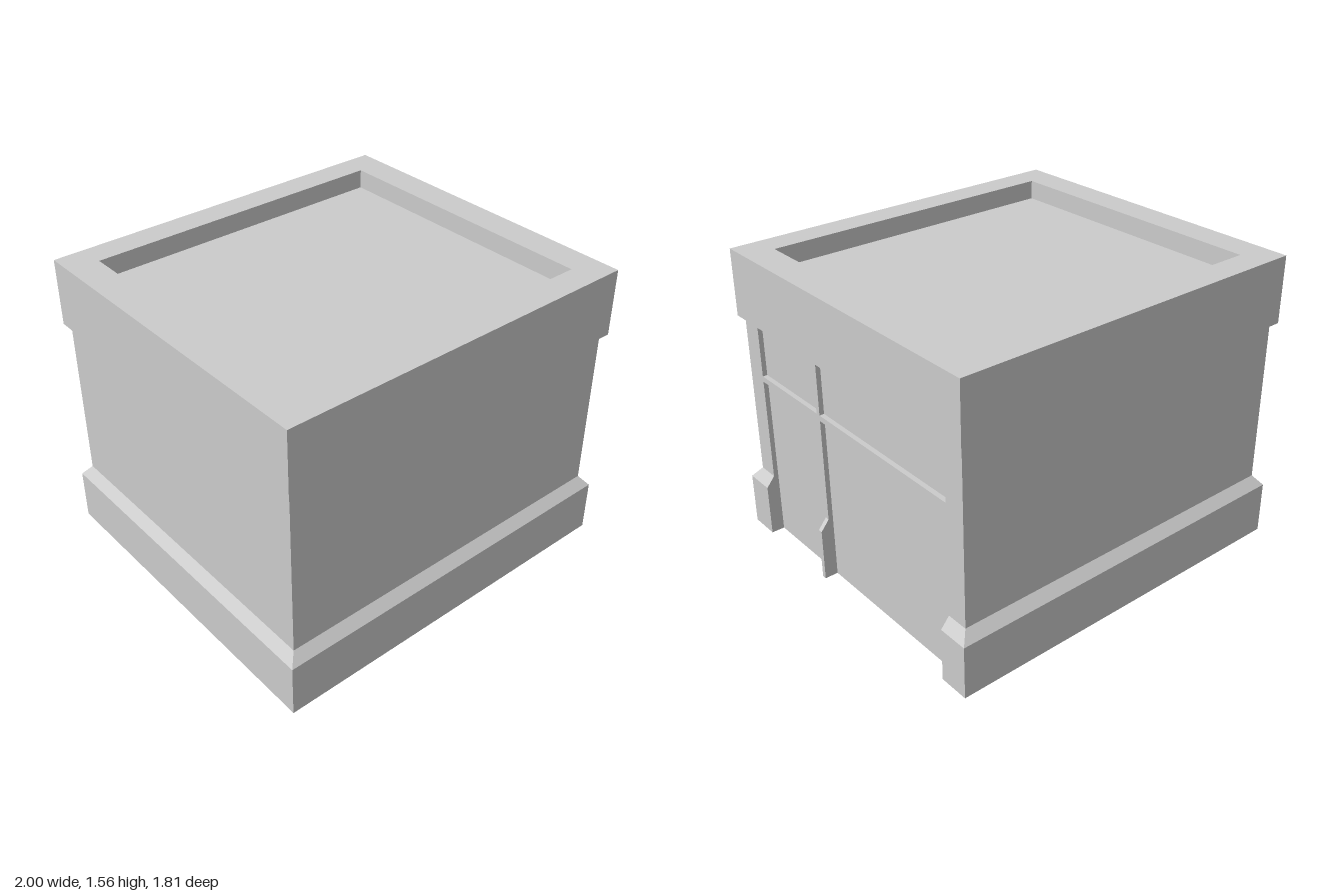
import * as THREE from 'three';

const HX = 1, HZ = 0.905;      // half size of the plinth
const DOOR = 0.745;            // half width of the opening on the +x side
const WALL_TOP = 1.21;

export function createModel() {
  const group = new THREE.Group();
  const grey = new THREE.MeshStandardMaterial({ color: 0xcccccc });
  grey.name = 'plain grey';

  const add = (name, geometry) => {
    const mesh = new THREE.Mesh(geometry, grey);
    mesh.name = name;
    group.add(mesh);
  };

  // Box given by its limits
  const box = (name, x0, x1, y0, y1, z0, z1) => add(name,
    new THREE.BoxGeometry(x1 - x0, y1 - y0, z1 - z0)
      .translate((x0 + x1) / 2, (y0 + y1) / 2, (z0 + z1) / 2));

  // Outline in x and y, extruded from z0 to z1
  const post = (name, outline, z0, z1) => {
    const shape = new THREE.Shape(outline.map(([x, y]) => new THREE.Vector2(x, y)));
    add(name, new THREE.ExtrudeGeometry(shape, { depth: z1 - z0, bevelEnabled: false })
      .translate(0, 0, z0));
  };

  // Rectangular frame lying flat from y0 to y1
  const frame = (name, hx, hz, ix, iz, y0, y1) => {
    const rect = (x, z) => [[-x, -z], [x, -z], [x, z], [-x, z]].map(([a, b]) => new THREE.Vector2(a, b));
    const shape = new THREE.Shape(rect(hx, hz));
    shape.holes.push(new THREE.Path(rect(ix, iz).reverse()));
    add(name, new THREE.ExtrudeGeometry(shape, { depth: y1 - y0, bevelEnabled: false })
      .rotateX(-Math.PI / 2).translate(0, y0, 0));
  };

  // Hollow wall with a bevelled plinth, mitred round the corners and open at the doorway
  // Profile: inset from the plinth face, height; up the outside and down the inside
  const profile = [[0, 0], [0, 0.28], [0.045, 0.335], [0.045, WALL_TOP],
    [0.085, WALL_TOP], [0.085, 0.335], [0.04, 0.28], [0.04, 0]];
  const section = (at) => profile.map(([inset, y]) => {
    const [x, z] = at(HX - inset, HZ - inset);
    return [x, y, z];
  });
  const sections = [
    section((x) => [x, DOOR]),
    section((x, z) => [x, z]),
    section((x, z) => [-x, z]),
    section((x, z) => [-x, -z]),
    section((x, z) => [x, -z]),
    section((x) => [x, -DOOR]),
  ];
  const positions = [];
  const quad = (a, b, c, d) => positions.push(...a, ...b, ...c, ...a, ...c, ...d);
  const n = profile.length;
  for (let i = 0; i < sections.length - 1; i++) {
    const s = sections[i], t = sections[i + 1];
    for (let j = 0; j < n; j++) quad(s[j], s[(j + 1) % n], t[(j + 1) % n], t[j]);
  }
  const first = sections[0], last = sections[sections.length - 1];
  for (let k = 0; k < n / 2 - 1; k++) {
    quad(first[n - 1 - k], first[n - 2 - k], first[k + 1], first[k]);
    quad(last[k], last[k + 1], last[n - 2 - k], last[n - 1 - k]);
  }
  const walls = new THREE.BufferGeometry();
  walls.setAttribute('position', new THREE.Float32BufferAttribute(positions, 3));
  walls.computeVertexNormals();
  add('walls', walls);

  // Doorway: recessed panel, mullion, rail and jamb backing
  box('recessedPanel', 0.915, 0.93, 0, WALL_TOP, -DOOR, DOOR);
  post('mullion', [[0.93, 0], [1, 0], [1, 0.28], [0.955, 0.335], [0.955, WALL_TOP], [0.93, WALL_TOP]], 0.22, 0.245);
  box('railLeft', 0.93, 0.955, 0.89, 0.92, 0.245, DOOR);
  box('railRight', 0.93, 0.955, 0.89, 0.92, -DOOR, 0.22);
  const backing = [[0.915, 0], [0.96, 0], [0.96, 0.28], [0.915, 0.335]];
  post('frontJambBacking', backing, DOOR, DOOR + 0.04);
  post('backJambBacking', backing, -DOOR - 0.04, -DOOR);

  // Overhanging roof with a sunken top
  frame('roofSkirt', 0.98, 0.89, 0.94, 0.85, WALL_TOP, 1.46);
  box('roofDeck', -0.94, 0.94, 1.42, 1.46, -0.85, 0.85);
  frame('parapet', 0.98, 0.89, 0.82, DOOR, 1.46, 1.56);

  return group;
}
